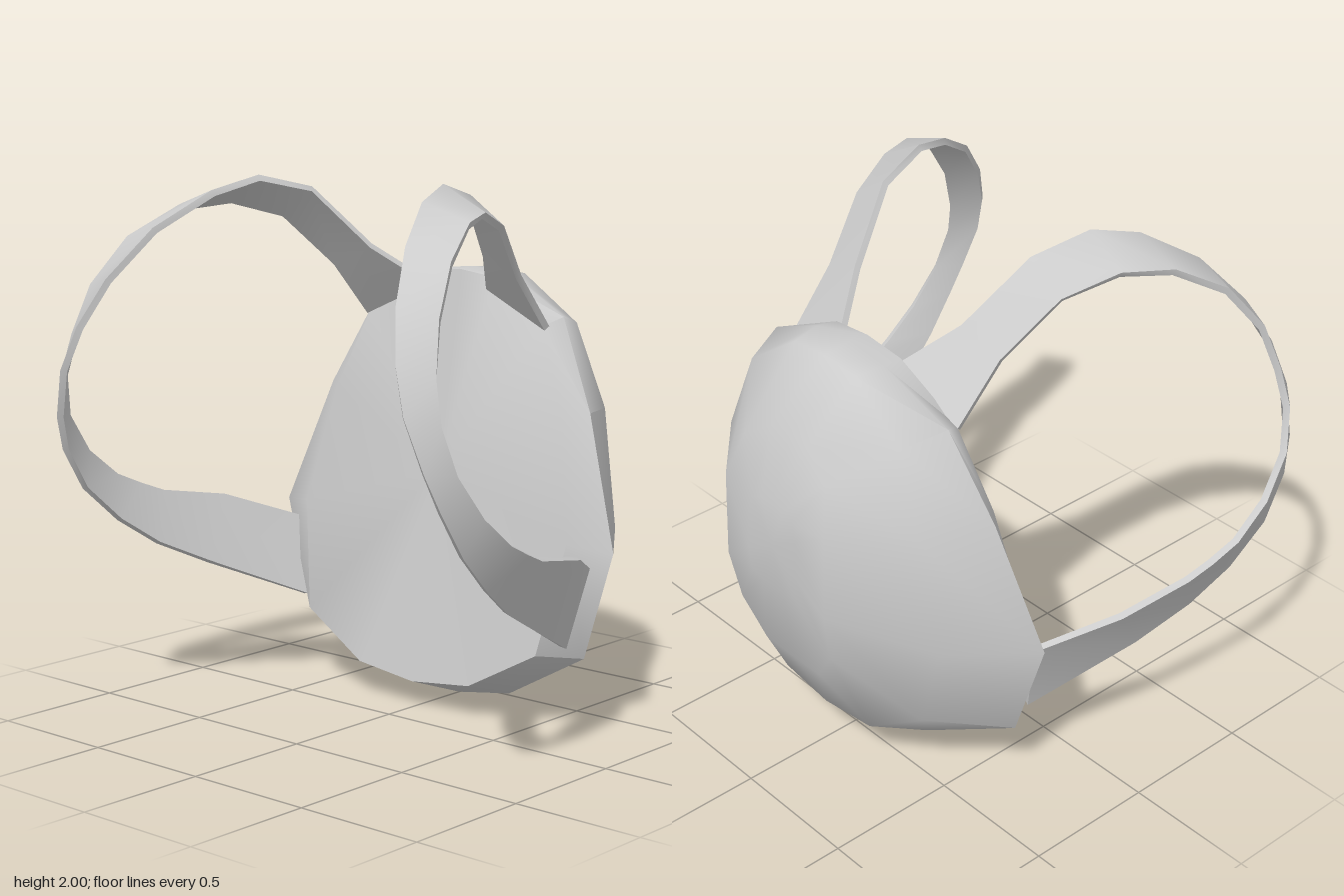
import * as THREE from 'three';
import { toCreasedNormals } from 'three/addons/utils/BufferGeometryUtils.js';

const material = new THREE.MeshStandardMaterial({ color: 0xcccccc });

// Skins a list of equal-sized vertex loops and closes both ends with fans.
function loft(name, rings, crease) {
  const n = rings[0].length;
  const points = rings.flat();
  const index = [];
  for (let r = 0; r < rings.length - 1; r++) {
    for (let i = 0; i < n; i++) {
      const a = r * n + i, b = r * n + (i + 1) % n;
      index.push(a, b, b + n, a, b + n, a + n);
    }
  }
  const centre = ring => ring.reduce((s, p) => s.add(p), new THREE.Vector3()).divideScalar(n);
  const last = (rings.length - 1) * n;
  const first = points.length;
  points.push(centre(rings[0]), centre(rings[rings.length - 1]));
  for (let i = 0; i < n; i++) {
    const j = (i + 1) % n;
    index.push(first, j, i, first + 1, last + i, last + j);
  }
  const geometry = new THREE.BufferGeometry().setFromPoints(points);
  geometry.setIndex(index);
  const mesh = new THREE.Mesh(toCreasedNormals(geometry, crease), material);
  mesh.name = name;
  return mesh;
}

// Half outlines of the bag, top to bottom, from the slanted back panel to the bulging pouch.
const panelZ = y => -0.13 - 0.175 * (y - 0.1);
const panel = [[0, 1.64], [0.17, 1.62], [0.42, 1.46], [0.55, 1.15], [0.64, 0.7], [0.56, 0.29], [0.27, 0.13], [0, 0.1]]
  .map(([x, y]) => [x, y, panelZ(y)]);
const bagOutlines = [
  panel,
  [[0, 1.645, -0.48], [0.18, 1.63, -0.48], [0.46, 1.49, -0.44], [0.63, 1.16, -0.38],
    [0.8, 0.68, -0.3], [0.67, 0.27, -0.31], [0.27, 0.05, -0.38], [0, 0, -0.41]],
  [[0, 1.635, -0.59], [0.16, 1.62, -0.59], [0.4, 1.45, -0.6], [0.52, 1.14, -0.62],
    [0.59, 0.7, -0.6], [0.5, 0.36, -0.6], [0.24, 0.19, -0.63], [0, 0.17, -0.64]],
  [[0, 1.4, -0.75], [0.1, 1.38, -0.755], [0.22, 1.3, -0.78], [0.27, 1.13, -0.835],
    [0.27, 0.8, -0.845], [0.25, 0.6, -0.81], [0.15, 0.46, -0.785], [0, 0.45, -0.78]],
  [[0, 1.15, -0.84], [0.06, 1.14, -0.84], [0.11, 1.12, -0.843], [0.13, 1.05, -0.847],
    [0.13, 0.9, -0.855], [0.12, 0.82, -0.855], [0.06, 0.8, -0.855], [0, 0.8, -0.855]],
];

function mirrorOutline(half) {
  const right = half.slice(1, -1).reverse().map(([x, y, z]) => [-x, y, z]);
  return [...half, ...right].map(p => new THREE.Vector3(...p));
}

// Two edges of a shoulder strap, from the top of the bag round to its lower side.
const upperEdge = [
  [0.15, 1.59, -0.4], [0.28, 1.73, -0.22], [0.38, 1.95, 0], [0.44, 2, 0.22], [0.5, 1.95, 0.4],
  [0.6, 1.82, 0.6], [0.69, 1.64, 0.75], [0.76, 1.47, 0.83], [0.82, 1.31, 0.86], [0.88, 1.13, 0.83],
  [0.91, 1, 0.78], [0.92, 0.84, 0.68], [0.9, 0.7, 0.53], [0.86, 0.59, 0.37], [0.8, 0.49, 0.16], [0.65, 0.32, -0.23],
];
const outerEdge = [
  [0.44, 1.46, -0.38], [0.45, 1.66, -0.2], [0.53, 1.85, 0], [0.61, 1.91, 0.2], [0.69, 1.89, 0.38],
  [0.77, 1.78, 0.57], [0.83, 1.61, 0.7], [0.87, 1.43, 0.76], [0.91, 1.28, 0.78], [0.945, 1.12, 0.74],
  [0.965, 0.97, 0.63], [0.965, 0.86, 0.49], [0.95, 0.81, 0.38], [0.93, 0.77, 0.28], [0.88, 0.72, 0], [0.72, 0.62, -0.27],
];
const strapThickness = 0.025;

function makeStrap(name, side) {
  const a = upperEdge.map(p => new THREE.Vector3(...p));
  const b = outerEdge.map(p => new THREE.Vector3(...p));
  const middle = a.map((p, i) => p.clone().add(b[i]).multiplyScalar(0.5));
  const rings = a.map((p, i) => {
    const along = middle[Math.min(i + 1, a.length - 1)].clone().sub(middle[Math.max(i - 1, 0)]);
    const inward = b[i].clone().sub(p).cross(along).setLength(strapThickness);
    const ring = [b[i], p, p.clone().add(inward), b[i].clone().add(inward)];
    if (side > 0) return ring;
    return ring.map(q => new THREE.Vector3(-q.x, q.y, q.z)).reverse();
  });
  return loft(name, rings, 0.7);
}

export function createModel() {
  const backpack = new THREE.Group();
  backpack.name = 'backpack';
  backpack.add(
    loft('bag', bagOutlines.map(mirrorOutline), 1.1),
    makeStrap('leftStrap', 1),
    makeStrap('rightStrap', -1),
  );
  return backpack;
}
